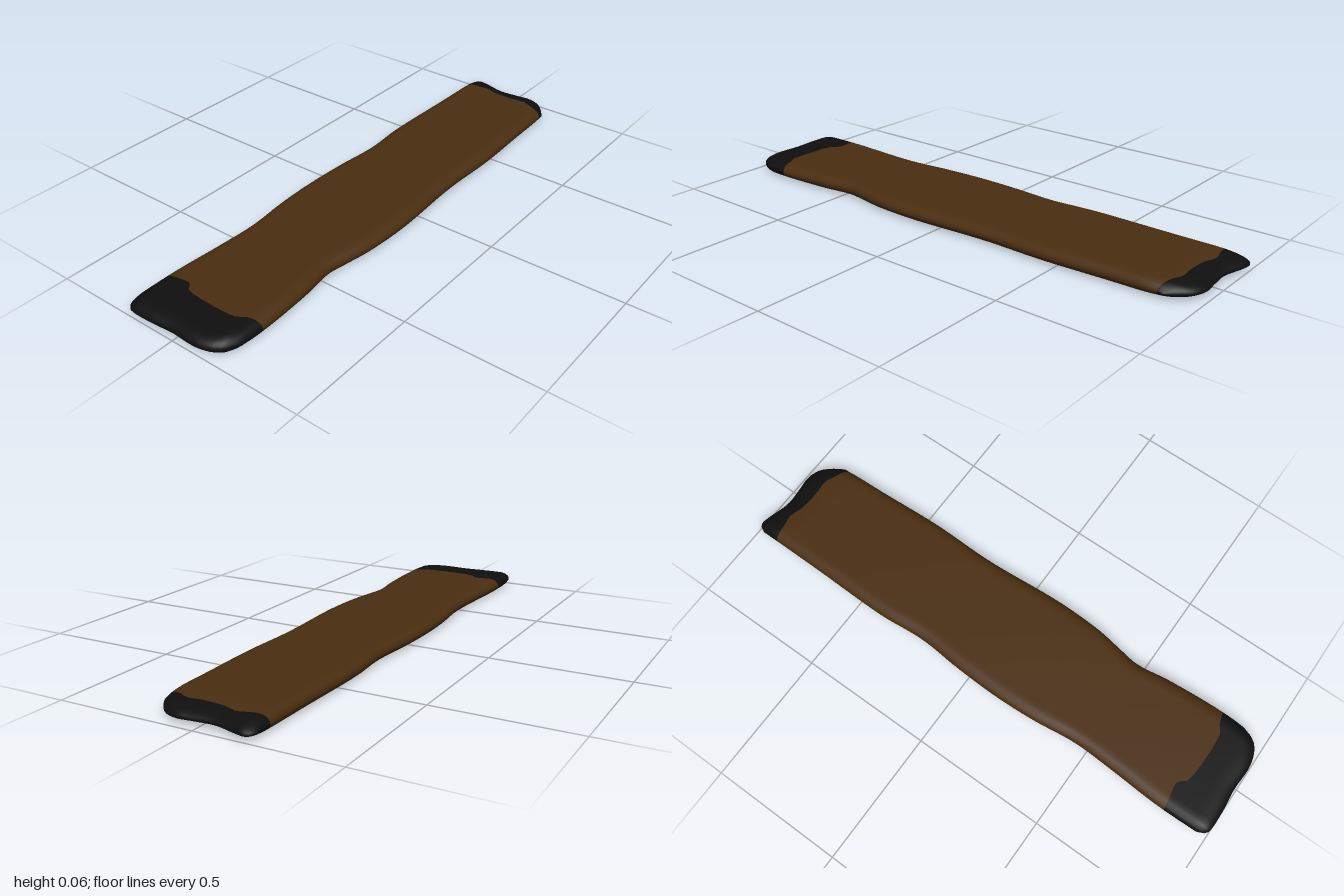
import * as THREE from 'three';

// Smooth interpolation through [x, y] knots, clamped at both ends
function spline(knots, x) {
  const n = knots.length;
  if (x <= knots[0][0]) return knots[0][1];
  if (x >= knots[n - 1][0]) return knots[n - 1][1];
  let i = 0;
  while (x > knots[i + 1][0]) i++;
  const slope = (k) => {
    const a = knots[Math.max(k - 1, 0)], b = knots[Math.min(k + 1, n - 1)];
    return (b[1] - a[1]) / (b[0] - a[0]);
  };
  const [x0, y0] = knots[i], [x1, y1] = knots[i + 1], w = x1 - x0, t = (x - x0) / w;
  return y0 * (1 + 2 * t) * (1 - t) ** 2 + y1 * t * t * (3 - 2 * t)
    + w * t * (1 - t) * (slope(i) * (1 - t) - slope(i + 1) * t);
}

// Wavy long edges: z by x
const BACK = [[-1, -0.21], [-0.8, -0.212], [-0.6, -0.2], [-0.45, -0.195], [-0.28, -0.213], [-0.12, -0.219],
  [0.05, -0.213], [0.22, -0.2], [0.4, -0.212], [0.7, -0.207], [1, -0.204]];
const FRONT = [[-1, 0.192], [-0.82, 0.203], [-0.6, 0.192], [-0.47, 0.176], [-0.38, 0.19], [-0.28, 0.206],
  [-0.1, 0.212], [0.2, 0.196], [0.45, 0.201], [0.7, 0.191], [0.88, 0.186], [1, 0.18]];
// Outlines of both ends and of the colour borders: x by position across the width (-1 back, 1 front)
const LEFT_END = [[-1, -0.96], [-0.95, -0.985], [-0.86, -0.998], [-0.45, -0.999], [0, -0.992], [0.45, -0.995],
  [0.7, -0.985], [0.87, -0.965], [0.96, -0.935], [1, -0.9]];
const LEFT_BORDER = [[-1, -0.83], [-0.75, -0.822], [-0.5, -0.817], [-0.4, -0.842], [0, -0.852], [0.6, -0.848],
  [0.75, -0.828], [1, -0.815]];
const RIGHT_BORDER = [[-1, 0.905], [-0.7, 0.912], [-0.45, 0.92], [-0.2, 0.905], [0.2, 0.9], [0.5, 0.904],
  [0.7, 0.888], [1, 0.87]];
const RIGHT_END = [[-1, 0.97], [-0.92, 0.998], [-0.7, 0.995], [-0.25, 0.973], [0.15, 0.977], [0.45, 0.982],
  [0.7, 0.965], [0.87, 0.93], [1, 0.89]];

// Cross-section ring: flat top and bottom with rounded long edges, as [across, up]
function sectionRing() {
  const ring = [], flat = 24, round = 8, core = 0.8;
  for (const side of [1, -1]) {
    for (let i = 0; i < flat; i++) ring.push([side * core * (2 * i / flat - 1), side]);
    for (let i = 0; i < round; i++) {
      const a = Math.PI * (0.5 - i / round);
      ring.push([side * (core + (1 - core) * Math.cos(a)), side * Math.sin(a)]);
    }
  }
  return ring;
}

// Thickness factor, rounding off towards an end
const roundOff = (d, r) => (d >= r ? 1 : Math.sqrt(Math.max(0, 1 - (1 - d / r) ** 2)));

function plankGeometry() {
  const ring = sectionRing(), n = ring.length, CAP = 10, BODY = 52, total = 2 * CAP + BODY;
  const pos = [], idx = [];
  for (let i = 0; i <= total; i++) {
    for (const [s, k] of ring) {
      const xl = spline(LEFT_END, s), bl = spline(LEFT_BORDER, s);
      const br = spline(RIGHT_BORDER, s), xr = spline(RIGHT_END, s);
      let x;
      if (i <= CAP) x = xl + (bl - xl) * (i / CAP) ** 2;
      else if (i <= CAP + BODY) x = bl + (br - bl) * (i - CAP) / BODY;
      else x = xr + (br - xr) * ((total - i) / CAP) ** 2;
      const left = roundOff(x - xl, 0.06), right = roundOff(xr - x, 0.12);
      const back = spline(BACK, x), front = spline(FRONT, x);
      const y = 0.028 - 0.005 * (1 - right) + 0.028 * k * left * right;
      pos.push(x, y, (back + front) / 2 + s * (front - back) / 2);
    }
  }
  for (let i = 0; i < total; i++) {
    for (let j = 0; j < n; j++) {
      const a = i * n + j, b = i * n + (j + 1) % n;
      idx.push(a, b, a + n, b, b + n, a + n);
    }
  }
  const g = new THREE.BufferGeometry();
  g.setAttribute('position', new THREE.Float32BufferAttribute(pos, 3));
  g.setIndex(idx);
  // Dark left end, wooden body, dark right end
  g.addGroup(0, CAP * n * 6, 1);
  g.addGroup(CAP * n * 6, BODY * n * 6, 0);
  g.addGroup((CAP + BODY) * n * 6, CAP * n * 6, 1);
  g.computeVertexNormals();
  return g;
}

export function createModel() {
  const wood = new THREE.MeshStandardMaterial({ color: 0x4a2e10 });
  wood.name = 'brown wood';
  const charred = new THREE.MeshStandardMaterial({ color: 0x0f0f0f });
  charred.name = 'charred black';

  const group = new THREE.Group();
  group.name = 'plank';
  const board = new THREE.Mesh(plankGeometry(), [wood, charred]);
  board.name = 'boardWithDarkEnds';
  group.add(board);
  return group;
}
